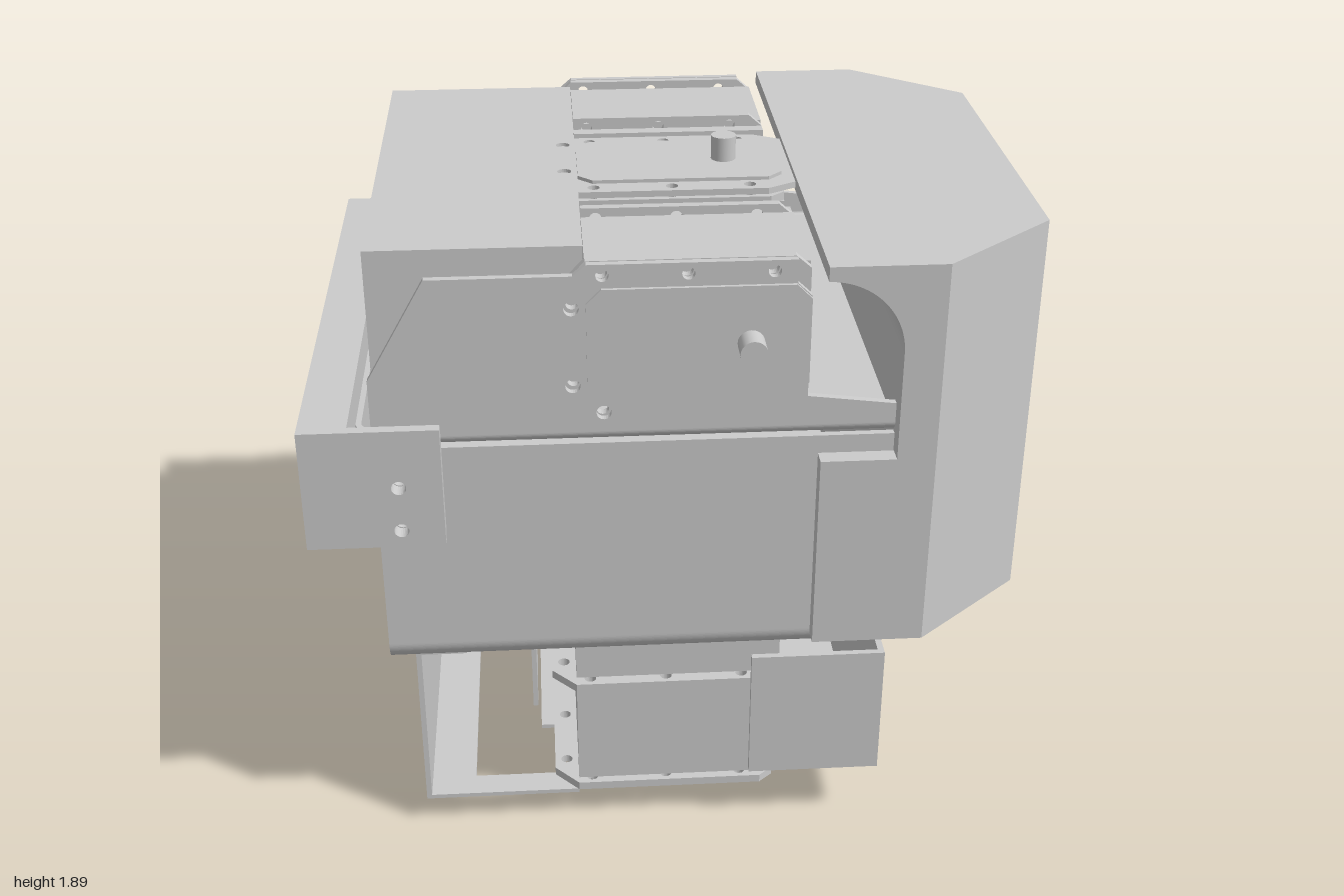
import * as THREE from 'three';

const mat = new THREE.MeshStandardMaterial({ color: 0xcccccc, side: THREE.DoubleSide });

export function createModel() {
  const root = new THREE.Group();

  const add = (name, geo, parent = root) => {
    const m = new THREE.Mesh(geo, mat);
    m.name = name;
    parent.add(m);
  };
  const box = (name, x0, x1, y0, y1, z0, z1, parent) => add(name,
    new THREE.BoxGeometry(x1 - x0, y1 - y0, z1 - z0)
      .translate((x0 + x1) / 2, (y0 + y1) / 2, (z0 + z1) / 2), parent);
  // extrude an outline (points or Shape) with round holes [x, y, r]
  const extrude = (outline, depth, holes = []) => {
    const s = outline instanceof THREE.Shape ? outline
      : new THREE.Shape(outline.map(p => new THREE.Vector2(...p)));
    for (const [x, y, r = 0.02] of holes) {
      s.holes.push(new THREE.Path().absarc(x, y, r, 0, Math.PI * 2, true));
    }
    return new THREE.ExtrudeGeometry(s, { depth, bevelEnabled: false, curveSegments: 12 });
  };
  // outline in x,y between two z values
  const plateXY = (name, pts, z0, z1, holes, parent) =>
    add(name, extrude(pts, z1 - z0, holes).translate(0, 0, z0), parent);
  // outline in x,z between two heights
  const plateXZ = (name, pts, y0, y1, holes = []) => add(name,
    extrude(pts.map(([x, z]) => [x, -z]), y1 - y0, holes.map(([x, z, r]) => [x, -z, r]))
      .rotateX(-Math.PI / 2).translate(0, y0, 0));
  // U-shaped section with round bends, opening towards +y
  const channel = (w, y0, y1, r, t) => {
    const s = new THREE.Shape();
    s.moveTo(-w, y1);
    s.lineTo(-w, y0 + r);
    s.absarc(-w + r, y0 + r, r, Math.PI, Math.PI * 1.5, false);
    s.lineTo(w - r, y0);
    s.absarc(w - r, y0 + r, r, -Math.PI / 2, 0, false);
    s.lineTo(w, y1);
    s.lineTo(w - t, y1);
    s.absarc(w - r, y0 + r, r - t, 0, -Math.PI / 2, true);
    s.lineTo(-w + r, y0 + t);
    s.absarc(-w + r, y0 + r, r - t, Math.PI * 1.5, Math.PI, true);
    s.lineTo(-w + t, y1);
    return s;
  };
  // z,y section swept along x
  const sweepX = (name, section, x0, x1, holes) =>
    add(name, extrude(section, x1 - x0, holes).rotateY(Math.PI / 2).translate(x0, 0, 0));
  const rect = (x0, x1, y0, y1) => [[x0, y0], [x1, y0], [x1, y1], [x0, y1]];
  const octagon = (x0, x1, h, c) => [[x0 + c, -h], [x1 - c, -h], [x1, -h + c], [x1, h - c],
    [x1 - c, h], [x0 + c, h], [x0, h - c], [x0, -h + c]];

  // Servo: shaft along local +z, case face at z = 0
  const servo = (name, x, y, z, rx, rear) => {
    const g = new THREE.Group();
    g.name = name;
    plateXY('servoCap', octagon(-0.29, 0.29, 0.16, 0.04), -0.035, 0, [], g);
    const holes = [];
    for (const s of [-1, 1]) {
      for (const hx of [-0.25, -0.03, 0.19]) holes.push([hx, s * 0.195, 0.017]);
      holes.push([-0.325, s * 0.11, 0.017]);
    }
    const ear = [[-0.36, -0.15], [-0.29, -0.225], [0.25, -0.225], [0.29, -0.19],
      [0.29, 0.19], [0.25, 0.225], [-0.29, 0.225], [-0.36, 0.15]];
    plateXY('frontFlange', ear, -0.06, -0.035, holes, g);
    box('servoBody', -0.29, 0.29, -0.2, 0.2, -0.395, -0.06, g);
    plateXY('rearFlange', ear, -0.42, -0.395, holes, g);
    box('rearCase', -0.29, 0.29, -0.19, 0.19, -rear, -0.42, g);
    add('shaft', new THREE.CylinderGeometry(0.036, 0.036, 0.08, 20)
      .rotateX(Math.PI / 2).translate(0.135, 0, 0.03), g);
    add('rearPin', new THREE.CylinderGeometry(0.036, 0.036, 0.02, 20)
      .rotateX(Math.PI / 2).translate(0.135, 0, -rear - 0.005), g);
    g.position.set(x, y, z);
    g.rotation.x = rx;
    root.add(g);
  };
  servo('frontArmServo', 0.0475, 1.605, 0.78, 0, 0.46);
  servo('backArmServo', 0.0475, 1.605, -0.78, Math.PI, 0.46);
  servo('neckServo', 0.0475, 1.825, 0, -Math.PI / 2, 0.46);
  for (const z of [0.485, -0.485]) servo('hipServo', 0, 0.07, z, Math.PI / 2, 0.545);

  // Chest cover: chamfered nose, arched core and side flaps
  plateXZ('chestNose', [[0.68, -0.80], [1, -0.53], [1, 0.55], [0.68, 0.825]], 0.69, 1.83);
  const core = new THREE.Shape();
  core.moveTo(0.68, 0.69);
  core.lineTo(0.68, 1.83);
  core.lineTo(0.37, 1.83);
  core.lineTo(0.37, 1.79);
  core.absarc(0.37, 1.585, 0.205, Math.PI / 2, 0, true);
  core.lineTo(0.575, 0.69);
  plateXY('chestCore', core, -0.80, 0.825);
  plateXY('frontFlap', rect(0.37, 0.6, 0.69, 1.27), 0.775, 0.825);
  plateXY('backFlap', rect(0.37, 0.6, 0.69, 1.27), -0.80, -0.77, [[0.43, 0.77], [0.43, 1.17]]);

  // Main torso bracket
  sweepX('torsoFloor', channel(0.77, 0.63, 0.72, 0.07, 0.02), -0.81, 0.6);
  const barHoles = [[-0.745, 1.23, 0.02], [-0.745, 1.1, 0.02]];
  for (const z of [0.75, -0.77]) {
    plateXY('torsoWall', rect(-0.81, 0.575, 0.72, 1.32), z, z + 0.02, barHoles);
  }
  box('floorTab', 0.6, 0.65, 0.63, 0.645, -0.68, 0.68);
  box('floorLip', 0.64, 0.66, 0.63, 0.7, -0.68, 0.68);

  // Upper bracket carrying the arm servos
  sweepX('upperFloor', channel(0.77, 1.325, 1.36, 0.03, 0.02), -0.81, 0.575);
  const cheek = [[-0.81, 1.355], [0.575, 1.355], [0.575, 1.41], [0.337, 1.44], [0.337, 1.73],
    [0.3, 1.765], [0.3, 1.83], [-0.24, 1.83], [-0.275, 1.8], [-0.65, 1.8], [-0.81, 1.52]];
  const cheekHoles = [[-0.28, 1.71], [-0.28, 1.49], [-0.2, 1.41],
    [-0.2, 1.8, 0.017], [0.02, 1.8, 0.017], [0.24, 1.8, 0.017]];
  for (const z of [0.75, -0.77]) plateXY('upperCheek', cheek, z, z + 0.02, cheekHoles);

  // Backpack box and neck plate
  box('backBox', -0.81, -0.245, 1.34, 1.825, -0.66, 0.655);
  plateXZ('backBoxLid', rect(-0.81, -0.245, -0.66, 0.655), 1.825, 1.835,
    [[-0.28, 0.11], [-0.28, -0.11]]);
  const neckHoles = [];
  for (const x of [-0.2, 0.02, 0.24]) for (const z of [-0.19, 0.19]) neckHoles.push([x, z, 0.017]);
  plateXZ('neckPlate', [[-0.25, -0.225], [0.29, -0.225], [0.37, -0.18], [0.37, 0.18],
    [0.29, 0.225], [-0.25, 0.225]], 1.797, 1.815, neckHoles);

  // Rear bar with side arms, and the thin bracket inside it
  box('rearBar', -1, -0.87, 1.05, 1.4, -0.85, 0.82);
  for (const z of [0.79, -0.85]) {
    plateXY('barArm', rect(-0.88, -0.63, 1.05, 1.4), z, z + 0.03, barHoles);
  }
  add('innerBarBracket', extrude(channel(0.79, -0.85, -0.8, 0.04, 0.015), 0.32)
    .rotateX(-Math.PI / 2).rotateY(-Math.PI / 2).translate(0, 1.07, 0));
  for (const z of [0.775, -0.79]) {
    plateXY('innerBarArm', rect(-0.8, -0.63, 1.07, 1.39), z, z + 0.015, barHoles);
  }

  // Hip frame: front shield, side return, base plate, rear walls
  const shield = [[-0.765, 0.6], [-0.765, 0.19], [-0.48, 0.19], [-0.385, 0.085],
    [0.385, 0.085], [0.48, 0.19], [0.48, 0.6]];
  sweepX('hipShield', shield, 0.575, 0.593, [[-0.315, 0.19, 0.024], [0.315, 0.19, 0.024]]);
  box('hipSideReturn', 0.21, 0.59, 0.19, 0.6, 0.747, 0.765);
  plateXZ('hipBase', rect(-0.40, 0.58, -0.385, 0.385), 0.087, 0.1);
  box('baseRearStrip', -0.74, -0.6, 0.087, 0.1, -0.7, 0.7);
  for (const z of [0.66, -0.66]) box('baseEndStrip', -0.6, -0.29, 0.087, 0.1, z - 0.04, z + 0.04);
  box('hipRearWall', -0.745, -0.73, 0.087, 0.625, -0.7, 0.7);
  box('rearWallLip', -0.74, -0.6, 0.61, 0.627, -0.7, 0.7);
  box('hipInnerWall', -0.425, -0.41, 0.09, 0.625, -0.27, 0.27);
  box('innerWallTop', -0.425, 0.3, 0.6, 0.627, -0.27, 0.27);
  for (const z of [0.485, -0.485]) box('servoMount', -0.29, 0.3, 0.5, 0.628, z - 0.2, z + 0.2);

  return root;
}
